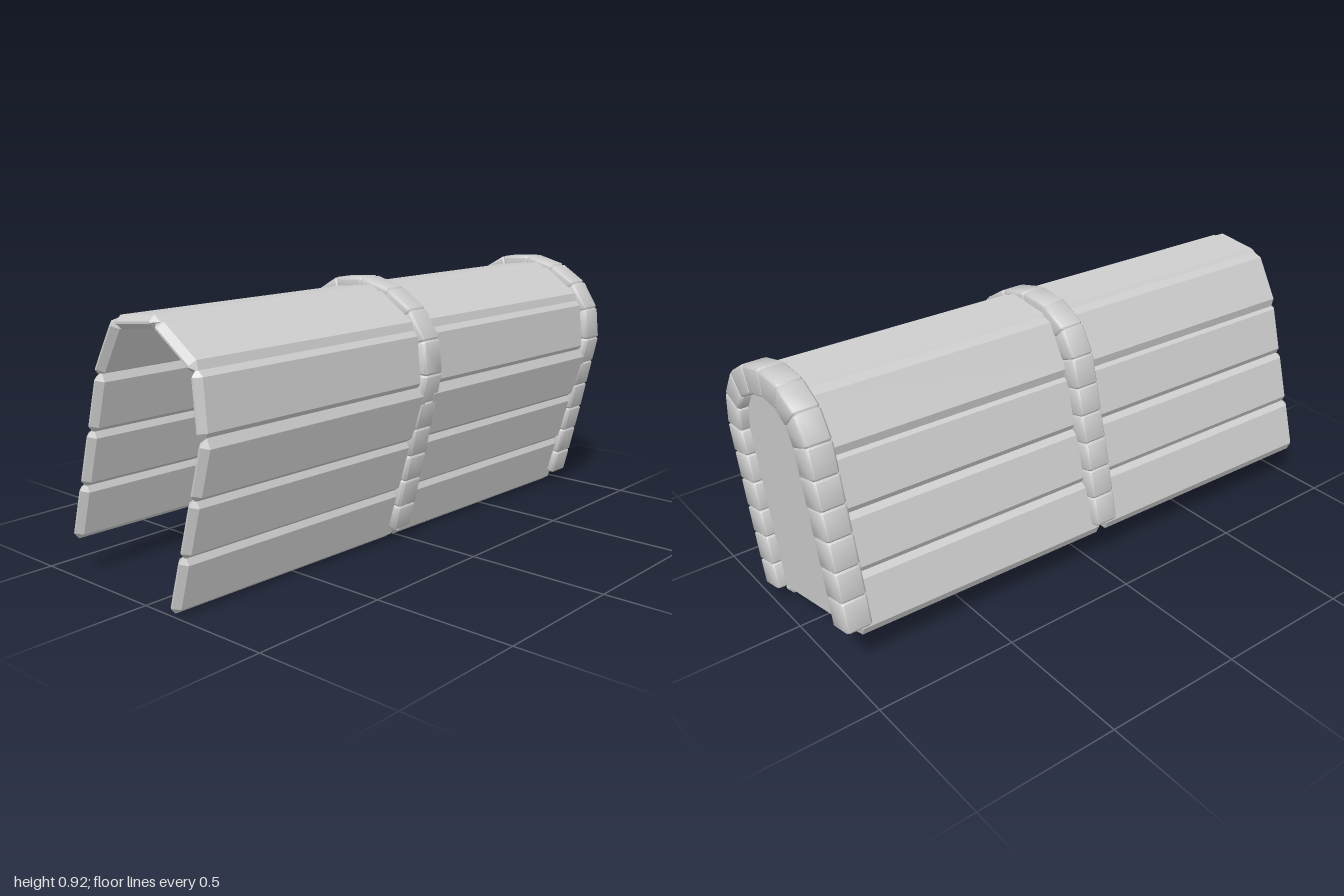
import * as THREE from 'three';
import { toCreasedNormals } from 'three/addons/utils/BufferGeometryUtils.js';

const SKEW = 0.03; // sideways drift of the tunnel per unit of depth
const v2 = (x, y) => new THREE.Vector2(x, y);
const mat = () => new THREE.MeshStandardMaterial({ color: 0xcccccc });

// Closed solid through cross-sections with equal point counts, turned outward
function loft(sections) {
  const n = sections[0].length, last = sections.length - 1;
  const tris = [];
  for (let s = 0; s < last; s++) {
    for (let i = 0; i < n; i++) {
      const j = (i + 1) % n;
      const [a, b, c, d] = [sections[s][i], sections[s][j], sections[s + 1][j], sections[s + 1][i]];
      tris.push([a, b, c], [a, c, d]);
    }
  }
  for (let i = 1; i < n - 1; i++) {
    tris.push([sections[0][0], sections[0][i + 1], sections[0][i]]);
    tris.push([sections[last][0], sections[last][i], sections[last][i + 1]]);
  }
  const cross = new THREE.Vector3();
  const volume = tris.reduce((sum, [a, b, c]) => sum + a.dot(cross.crossVectors(b, c)), 0);
  const points = tris.flatMap(([a, b, c]) => (volume < 0 ? [a, c, b] : [a, b, c]));
  const geo = new THREE.BufferGeometry().setFromPoints(points);
  geo.computeVertexNormals();
  return geo;
}

// Hexagonal board between two tip points, with tapered ends
function plankGeometry(a, b, zFront, zBack) {
  const d = b.clone().sub(a).normalize();
  const bevel = 0.026, half = 0.022, end = 0.02;
  const n = v2(-d.y, d.x).multiplyScalar(half);
  const p = a.clone().addScaledVector(d, bevel);
  const q = b.clone().addScaledVector(d, -bevel);
  const hex = [a, p.clone().add(n), q.clone().add(n), b, q.clone().sub(n), p.clone().sub(n)];
  const ridge = [p, p, q, q, q, p];
  const section = (z, taper) => hex.map((h, i) => {
    const s = h.clone().lerp(ridge[i], taper);
    return new THREE.Vector3(s.x + SKEW * (1 - z), s.y, z);
  });
  return loft([section(zFront, 0.85), section(zFront - end, 0),
    section(zBack + end, 0), section(zBack, 0.85)]);
}

// Centre line of the stone arch, from right foot over the crown to left foot
const ARCH = [
  [0.188, 0.053], [0.211, 0.142], [0.235, 0.24], [0.257, 0.332], [0.279, 0.43],
  [0.301, 0.525], [0.322, 0.615], [0.312, 0.715], [0.262, 0.793], [0.178, 0.846],
  [0.075, 0.873], [-0.025, 0.866], [-0.1, 0.823], [-0.147, 0.75], [-0.171, 0.655],
  [-0.195, 0.56], [-0.22, 0.465], [-0.245, 0.368], [-0.268, 0.27], [-0.292, 0.168],
].map(([x, y]) => v2(x, y));

// Arch normal at a joint, shared by the two neighbouring blocks
function jointNormal(i) {
  const t = ARCH[Math.min(i + 1, ARCH.length - 1)].clone().sub(ARCH[Math.max(i - 1, 0)]).normalize();
  return v2(t.y, -t.x);
}

// One wedge-shaped block with softened edges
function blockGeometry(i, z) {
  const R = 0.048, D = 0.046, c = 0.008;
  const outline = [[-R + c, -D], [R - c, -D], [R, -D + c], [R, D - c],
    [R - c, D], [-R + c, D], [-R, D - c], [-R, -D + c]];
  const n0 = jointNormal(i), n1 = jointNormal(i + 1);
  const section = (t, scale) => {
    const mid = ARCH[i].clone().lerp(ARCH[i + 1], t);
    const n = n0.clone().lerp(n1, t);
    return outline.map(([r, w]) => new THREE.Vector3(
      mid.x + n.x * r * scale, mid.y + n.y * r * scale, z + w * scale));
  };
  return toCreasedNormals(loft([section(0, 0.9), section(0.06, 1), section(0.94, 1), section(1, 0.9)]), 0.9);
}

export function createModel() {
  const model = new THREE.Group();
  const add = (parent, name, geo, material) => {
    const mesh = new THREE.Mesh(geo, material);
    mesh.name = name;
    parent.add(mesh);
    return mesh;
  };

  // Board positions: three per leaning wall, four over the roof
  const boards = [];
  for (let k = 0; k < 3; k++) {
    for (const [x, y] of [[0.115, 0], [-0.36, 0.125]]) {
      const a = v2(x + 0.055 * k, y + 0.186 * k);
      boards.push([a, v2(a.x + 0.057, a.y + 0.2)]);
    }
  }
  boards.push(
    [v2(0.268, 0.558), v2(0.25, 0.768)],
    [v2(0.258, 0.757), v2(0.08, 0.878)],
    [v2(0.1, 0.88), v2(-0.108, 0.858)],
    [v2(-0.098, 0.872), v2(-0.207, 0.685)],
  );

  // Front and rear runs of boards
  const plankMat = mat();
  plankMat.flatShading = true;
  for (const [name, z0, z1] of [['frontPlanks', 1, 0.025], ['rearPlanks', 0.025, -0.95]]) {
    const run = new THREE.Group();
    run.name = name;
    boards.forEach(([a, b]) => add(run, 'plank', plankGeometry(a, b, z0, z1), plankMat));
    model.add(run);
  }

  // Stone arches at the middle and the back
  const stoneMat = mat();
  for (const [name, z] of [['middleArch', 0.023], ['rearArch', -0.954]]) {
    const arch = new THREE.Group();
    arch.name = name;
    for (let i = 0; i < ARCH.length - 1; i++) add(arch, 'archBlock', blockGeometry(i, z), stoneMat);
    arch.position.x = -SKEW * (z + 0.954);
    model.add(arch);
  }

  // Wall closing the back arch
  const wallMat = mat();
  wallMat.side = THREE.DoubleSide;
  add(model, 'backWall', new THREE.ShapeGeometry(new THREE.Shape(ARCH)), wallMat).position.z = -0.965;

  return model;
}
